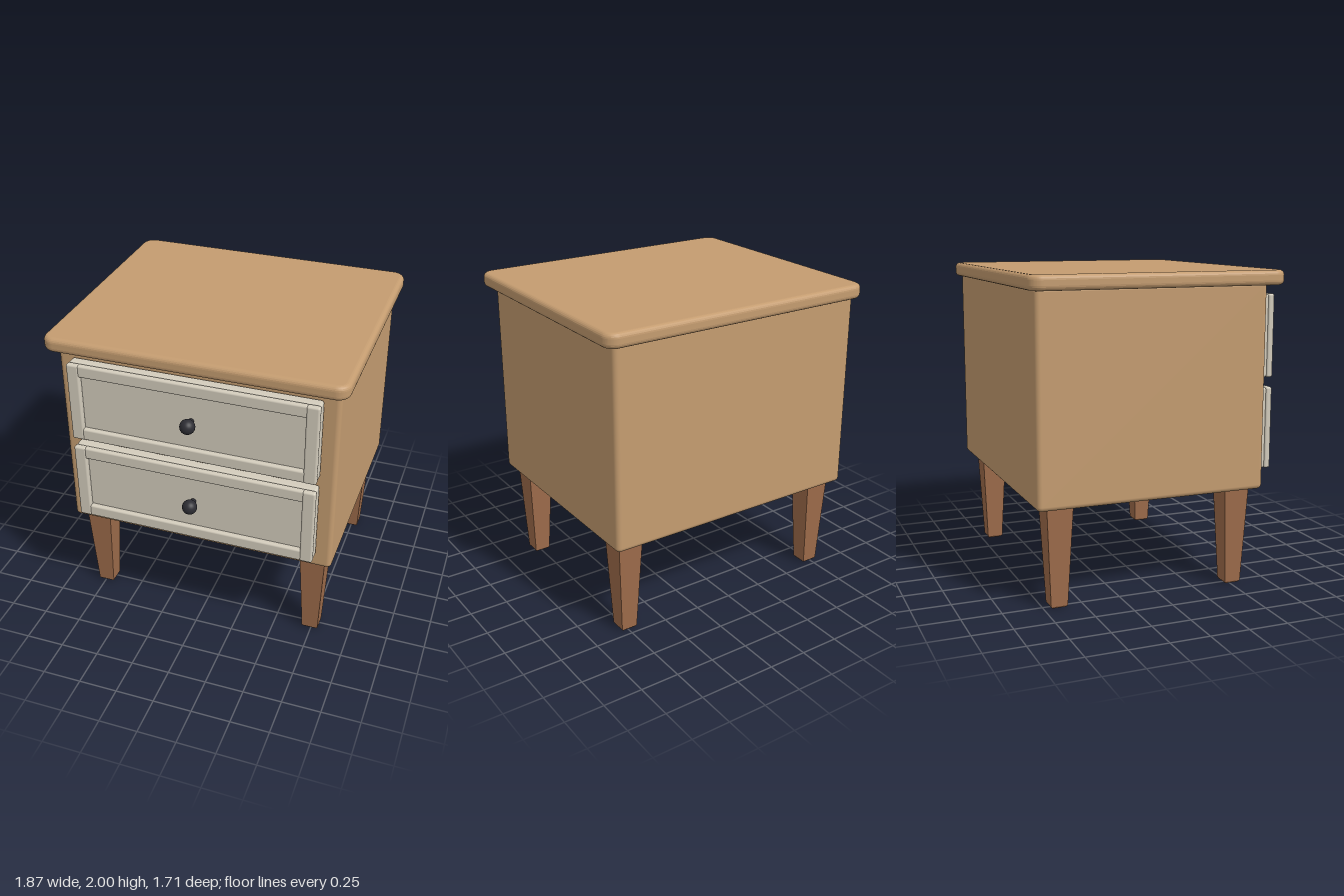
import * as THREE from 'three';
import { RoundedBoxGeometry } from 'three/addons/geometries/RoundedBoxGeometry.js';

const material = (name, color) => {
  const m = new THREE.MeshStandardMaterial({ color });
  m.name = name;
  return m;
};

export function createModel() {
  const oak = material('oak', 0xc49c70);
  const legWood = material('darkLegWood', 0x9e6c4b);
  const paint = material('creamPaint', 0xd3ccbc);
  const metal = material('blackMetal', 0x2d2d33);

  const model = new THREE.Group();
  model.name = 'nightstand';

  const add = (parent, name, geometry, mat, x = 0, y = 0, z = 0) => {
    const mesh = new THREE.Mesh(geometry, mat);
    mesh.name = name;
    mesh.position.set(x, y, z);
    parent.add(mesh);
    return mesh;
  };

  // Softly rounded box given by its limits
  const block = (parent, name, mat, [x0, x1], [y0, y1], [z0, z1], r) =>
    add(parent, name, new RoundedBoxGeometry(x1 - x0, y1 - y0, z1 - z0, 4, r), mat,
      (x0 + x1) / 2, (y0 + y1) / 2, (z0 + z1) / 2);

  // Cabinet
  block(model, 'cabinetBody', oak, [-0.877, 0.877], [0.63, 1.93], [-0.81, 0.672], 0.03);

  // Top board: rounded plan corners and bevelled edges
  const bevel = 0.03, w = 0.935 - bevel, d = 0.816 - bevel, r = 0.05;
  const plan = new THREE.Shape();
  plan.absarc(w - r, d - r, r, 0, Math.PI / 2);
  plan.absarc(-w + r, d - r, r, Math.PI / 2, Math.PI);
  plan.absarc(-w + r, -d + r, r, Math.PI, Math.PI * 1.5);
  plan.absarc(w - r, -d + r, r, Math.PI * 1.5, Math.PI * 2);
  const board = new THREE.ExtrudeGeometry(plan, {
    depth: 0.092 - 2 * bevel, bevelThickness: bevel, bevelSize: bevel, bevelSegments: 5, curveSegments: 8,
  });
  board.rotateX(-Math.PI / 2);
  add(model, 'topBoard', board, oak, 0, 1.908 + bevel, -0.036);

  // Drawers: back panel, raised frame and knob
  [[0.737, 1.0], [1.323, 1.586]].forEach(([y0, knobY], i) => {
    const y1 = y0 + 0.524;
    const drawer = new THREE.Group();
    drawer.name = i ? 'upperDrawer' : 'lowerDrawer';
    model.add(drawer);
    block(drawer, 'drawerPanel', paint, [-0.78, 0.78], [y0, y1], [0.672, 0.74], 0.018);
    for (const s of [-1, 1]) {
      block(drawer, s < 0 ? 'rightStile' : 'leftStile', paint,
        [s * 0.74 - 0.04, s * 0.74 + 0.04], [y0, y1], [0.737, 0.778], 0.013);
    }
    block(drawer, 'bottomRail', paint, [-0.71, 0.71], [y0, y0 + 0.08], [0.737, 0.776], 0.013);
    block(drawer, 'topRail', paint, [-0.71, 0.71], [y1 - 0.08, y1], [0.737, 0.776], 0.013);
    const stem = new THREE.CylinderGeometry(0.018, 0.018, 0.07, 16).rotateX(Math.PI / 2);
    add(drawer, 'knobStem', stem, metal, 0, knobY, 0.77);
    add(drawer, 'knob', new THREE.SphereGeometry(0.047, 32, 20), metal, 0, knobY, 0.807);
  });

  // Tapered square legs with a small chamfer at the foot
  const half = Math.SQRT2;
  const profile = [[0, 0], [0.044, 0], [0.053, 0.012], [0.083, 0.64], [0, 0.64]]
    .map(([x, y]) => new THREE.Vector2(x * half, y));
  const legGeometry = new THREE.LatheGeometry(profile, 4).rotateY(Math.PI / 4).toNonIndexed();
  legGeometry.computeVertexNormals();
  for (const x of [-0.742, 0.742]) {
    for (const z of [-0.655, 0.517]) {
      add(model, (z > 0 ? 'front' : 'back') + (x > 0 ? 'Left' : 'Right') + 'Leg', legGeometry, legWood, x, 0, z);
    }
  }
  return model;
}
